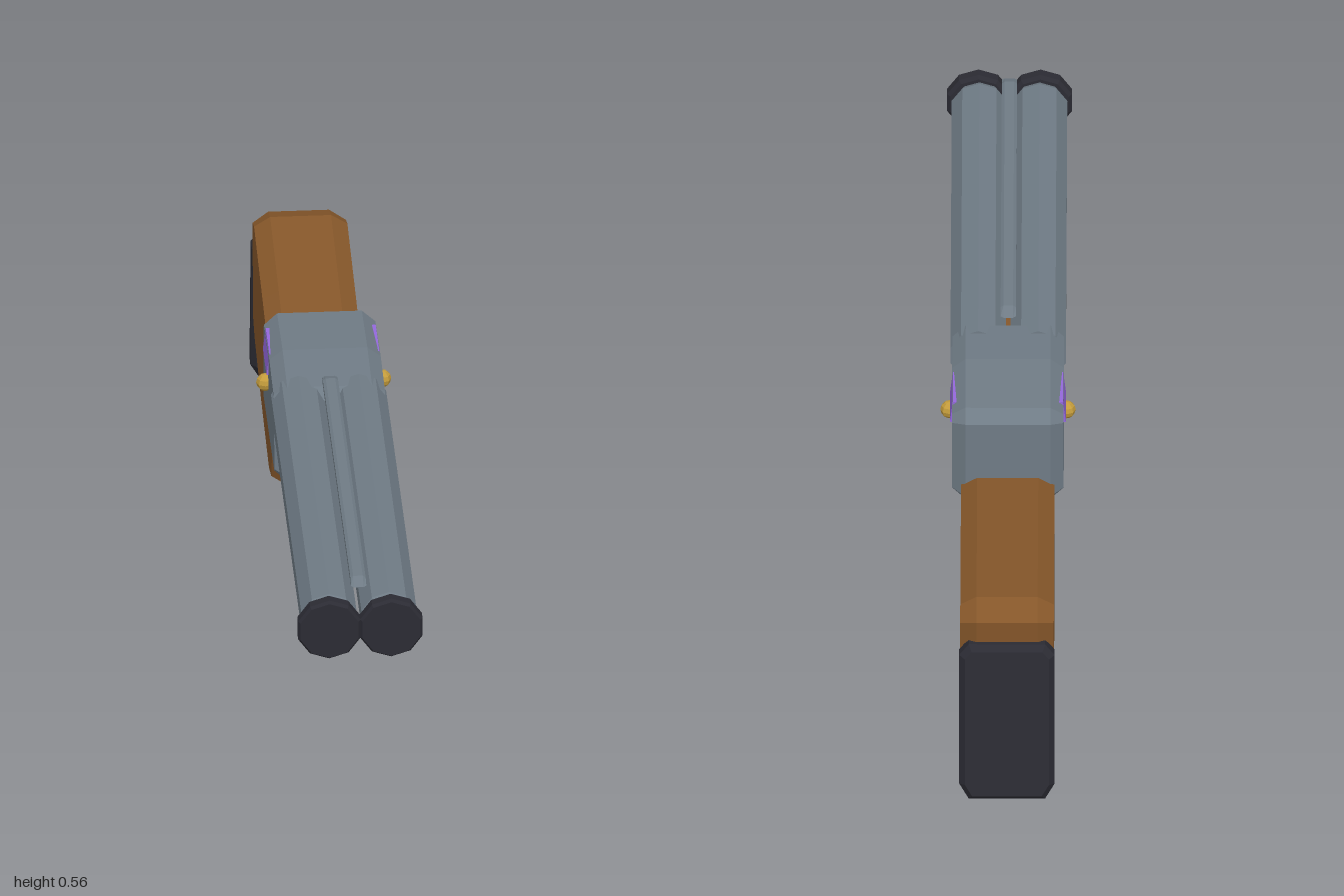
import * as THREE from 'three';

const mat = (name, color) => {
  const m = new THREE.MeshStandardMaterial({ color });
  m.name = name;
  return m;
};

// Give every facet its own flat normal
const faceted = (g) => {
  const f = g.index ? g.toNonIndexed() : g;
  f.computeVertexNormals();
  return f;
};

// Bevelled slab: outline as [x, y] points, extruded along z and centred
function slab(points, width, bevelWidth, inset) {
  const shape = new THREE.Shape(points.map(([x, y]) => new THREE.Vector2(x, y)));
  const depth = width - 2 * bevelWidth;
  const g = new THREE.ExtrudeGeometry(shape, {
    depth, bevelThickness: bevelWidth, bevelSize: inset, bevelOffset: -inset, bevelSegments: 1,
  });
  return g.translate(0, 0, -depth / 2);
}

// Side outline given as [z, y] points, with its width along x
const sideSlab = (points, width, bevelWidth, inset) =>
  faceted(slab(points, width, bevelWidth, inset).rotateY(-Math.PI / 2));

// Ten-sided turned part along z, profile as [radius, z] points
const turned = (points) =>
  faceted(new THREE.LatheGeometry(points.map(([r, z]) => new THREE.Vector2(r, z)), 10).rotateX(Math.PI / 2));

export function createModel() {
  const steel = mat('steel', 0x6f7b85);
  const wood = mat('wood', 0x86572a);
  const black = mat('black', 0x2b2b33);
  const brass = mat('brass', 0xc49c3c);
  const purple = mat('purple', 0x9468dc);

  const model = new THREE.Group();
  const add = (name, geometry, material, x = 0, y = 0, z = 0) => {
    const mesh = new THREE.Mesh(geometry, material);
    mesh.name = name;
    mesh.position.set(x, y, z);
    model.add(mesh);
    return mesh;
  };

  // Twin barrels with muzzle rings, and the details on both sides
  const barrel = turned([[0, 0], [0.061, 0], [0.061, 0.95], [0.055, 0.965], [0, 0.965]]);
  const muzzle = turned([[0, 0.965], [0.062, 0.965], [0.069, 0.972], [0.069, 0.993], [0.064, 1], [0, 1]]);
  const stud = faceted(new THREE.SphereGeometry(0.019, 8, 6));
  const inlay = faceted(new THREE.BoxGeometry(0.009, 0.05, 0.115));
  for (const [side, s] of [['left', 1], ['right', -1]]) {
    add(side + 'Barrel', barrel, steel, s * 0.063, 0.475);
    add(side + 'Muzzle', muzzle, black, s * 0.065, 0.475);
    add(side + 'Stud', stud, brass, s * 0.123, 0.44, -0.152);
    add(side + 'Inlay', inlay, purple, s * 0.114, 0.493, -0.187).rotation.z = s * 0.12;
  }

  // Sighting rib
  add('rib', sideSlab([
    [0.03, 0.55], [0.06, 0.541], [0.92, 0.541], [0.95, 0.55], [0.92, 0.561], [0.06, 0.561],
  ], 0.032, 0.006, 0.004), steel);

  // Receiver
  add('receiver', sideSlab([
    [0.075, 0.335], [0.055, 0.315], [-0.295, 0.31], [-0.312, 0.325],
    [-0.312, 0.505], [-0.285, 0.53], [-0.11, 0.538], [0.035, 0.528], [0.055, 0.505],
  ], 0.234, 0.028, 0.022), steel);

  // Fore-end
  add('foreEnd', sideSlab([
    [0.145, 0.36], [0.185, 0.315], [0.35, 0.302], [0.51, 0.312], [0.565, 0.35],
    [0.565, 0.395], [0.55, 0.435], [0.16, 0.435], [0.145, 0.40],
  ], 0.2, 0.034, 0.022), wood);

  // Stock
  add('stock', sideSlab([
    [-0.257, 0.335], [-0.267, 0.225], [-0.315, 0.10], [-0.40, 0.077], [-0.65, 0.105],
    [-0.86, 0.143], [-0.92, 0.175], [-0.935, 0.415], [-0.87, 0.438], [-0.6, 0.408], [-0.283, 0.369],
  ], 0.196, 0.034, 0.02), wood);

  // Butt pad, leaning back towards its foot
  const pad = faceted(slab([
    [-0.08, -0.18], [0.08, -0.18], [0.1, -0.145], [0.1, 0.155], [0.08, 0.18],
    [-0.08, 0.18], [-0.1, 0.155], [-0.1, -0.145],
  ], 0.055, 0.014, 0.012));
  add('buttPad', pad, black, 0, 0.186, -0.95).rotation.x = 0.12;

  // Trigger guard and trigger
  add('triggerGuard', sideSlab([
    [0.015, 0.32], [-0.015, 0.32], [-0.017, 0.202], [-0.225, 0.202], [-0.24, 0.187],
    [-0.225, 0.172], [0, 0.172], [0.015, 0.187],
  ], 0.046, 0.008, 0.005), black);
  add('trigger', sideSlab([
    [-0.135, 0.33], [-0.158, 0.33], [-0.152, 0.275], [-0.138, 0.213], [-0.115, 0.213], [-0.116, 0.25],
  ], 0.032, 0.007, 0.005), black);

  return model;
}
